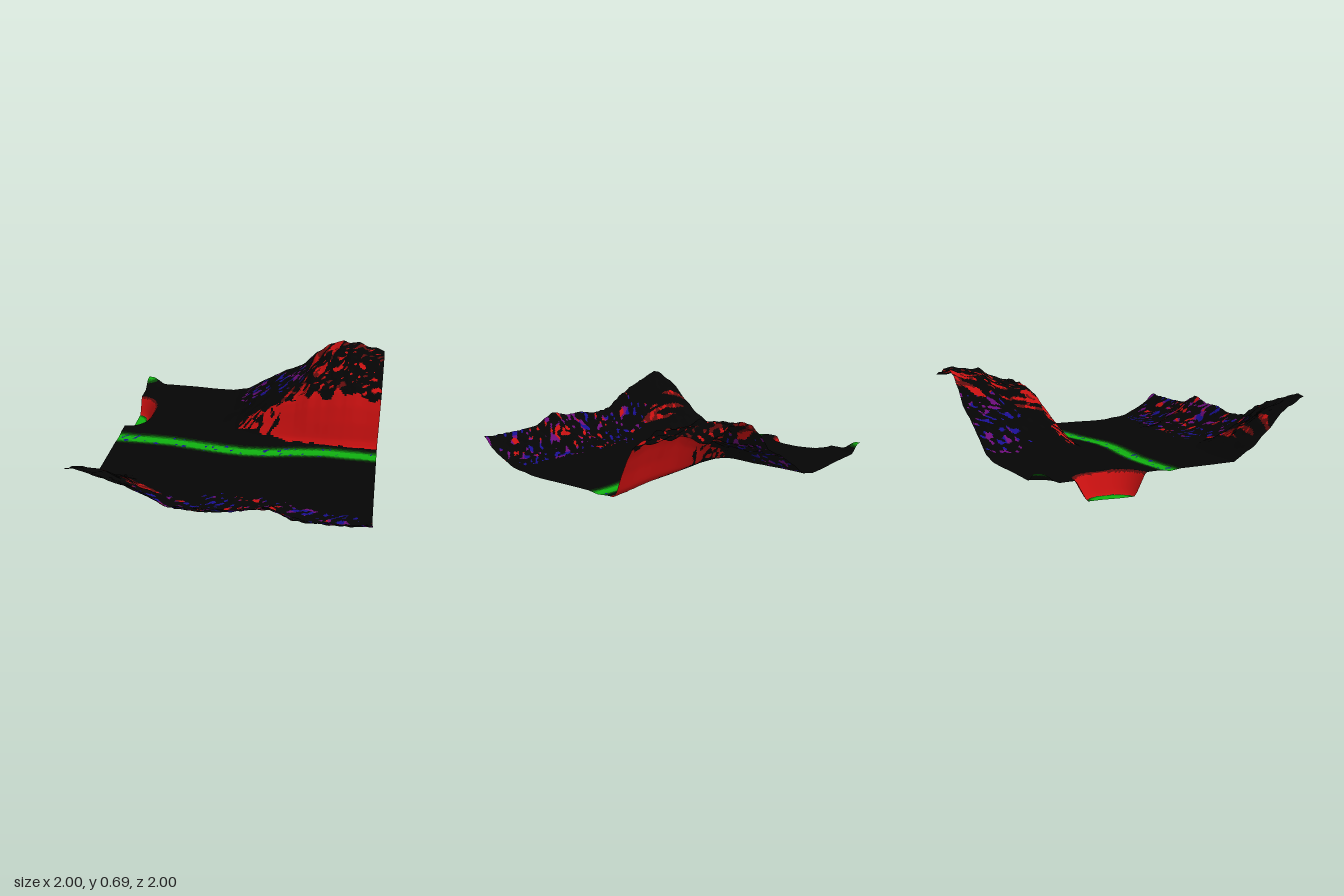
import * as THREE from 'three';

const CELLS = 250;
const FLAT = 0.15;
const { clamp, lerp, smoothstep } = THREE.MathUtils;

// Linear interpolation through [position, value] pairs
function profile(points, t) {
  if (t <= points[0][0]) return points[0][1];
  for (let i = 1; i < points.length; i++) {
    const [a, va] = points[i - 1], [b, vb] = points[i];
    if (t <= b) return va + (vb - va) * (t - a) / (b - a);
  }
  return points[points.length - 1][1];
}

// Seeded smooth noise in 0..1
function hash(i, j, seed) {
  const s = Math.sin(i * 127.1 + j * 311.7 + seed * 74.7) * 43758.5453;
  return s - Math.floor(s);
}
function noise(u, v, seed) {
  const i = Math.floor(u), j = Math.floor(v);
  const f = smoothstep(u - i, 0, 1), g = smoothstep(v - j, 0, 1);
  const a = lerp(hash(i, j, seed), hash(i + 1, j, seed), f);
  const b = lerp(hash(i, j + 1, seed), hash(i + 1, j + 1, seed), f);
  return lerp(a, b, g);
}

// Front hill: height along the front edge, then two slopes (tall end, low middle)
const FRONT_EDGE = [[-1, 0.555], [-0.95, 0.565], [-0.8, 0.53], [-0.6, 0.47], [-0.5, 0.43], [-0.4, 0.38],
  [-0.34, 0.34], [-0.25, 0.33], [-0.15, 0.33], [0, 0.36], [0.15, 0.365], [0.33, 0.41], [0.41, 0.375],
  [0.48, 0.34], [0.8, 0.335], [0.9, 0.34], [1, 0.36]];
const TALL_SLOPE = [[0.42, 0], [0.5, 0.12], [0.6, 0.29], [0.7, 0.51], [0.8, 0.73], [0.9, 0.86], [1, 1]];
const LOW_SLOPE = [[0.5, 0], [0.6, 0.04], [0.7, 0.1], [0.8, 0.25], [0.9, 0.57], [1, 1]];

// Back mountain: ridge height across x, then the rise from cliff foot to back edge,
// gradual at the high end and reaching full height at once on the low shoulder
const RIDGE = [[-0.25, 0.15], [-0.12, 0.18], [0, 0.26], [0.11, 0.33], [0.25, 0.4], [0.35, 0.45], [0.4, 0.5],
  [0.45, 0.56], [0.5, 0.59], [0.55, 0.635], [0.62, 0.66], [0.7, 0.67], [0.74, 0.69], [0.8, 0.68],
  [0.9, 0.65], [1, 0.635]];
const HIGH_RISE = [[-1, 1], [-0.85, 1], [-0.74, 0.97], [-0.7, 0.92], [-0.62, 0.85], [-0.58, 0.82], [-0.5, 0.81],
  [-0.43, 0.79], [-0.4, 0.72], [-0.35, 0.54], [-0.3, 0.31], [-0.26, 0.08], [-0.23, 0]];
const SHOULDER_RISE = [[-0.43, 1], [-0.38, 0.92], [-0.34, 0.7], [-0.3, 0.4], [-0.26, 0.1], [-0.23, 0]];

const STREAM = [[-1, -0.08], [-0.8, -0.085], [-0.6, -0.09], [-0.4, -0.07], [-0.2, -0.045], [0, -0.035],
  [0.2, -0.06], [0.4, -0.1], [0.6, -0.125], [0.8, -0.13], [1, -0.12]];
const PIT_WALL = [[0, 0], [0.54, 0.005], [0.63, 0.03], [0.79, 0.09], [0.92, 0.138], [1, 0.15]];

const pitRadius = (x, z) => Math.hypot((x + 1) / 0.18, Math.pow(Math.abs(z + 0.505) / 0.25, 1.4));
const cornerDistance = (x, z) => Math.hypot(x + 1, z + 1);
const streamDistance = (x, z) => Math.abs(z - profile(STREAM, x));

function height(x, z) {
  const pit = pitRadius(x, z);
  if (pit < 1) {
    const tilt = 0.05 * clamp(-z - 0.33, 0, 0.35);
    return profile(PIT_WALL, pit) + tilt * (1 - pit);
  }
  let y = FLAT + (noise(x * 5, z * 5, 8) - 0.5) * 0.006;
  // Small mound in the back corner
  y += 0.065 * (1 - smoothstep(cornerDistance(x, z), 0.03, 0.15));
  if (z > 0.4) {
    const edge = profile(FRONT_EDGE, x);
    const tall = clamp((edge - 0.33) / 0.2, 0, 1);
    const s = lerp(profile(LOW_SLOPE, z), profile(TALL_SLOPE, z), tall);
    y += (edge - FLAT) * s + (noise(x * 14, z * 14, 1) - 0.5) * 0.14 * s * (1 - s)
      + (noise(x * 30, z * 30, 9) - 0.5) * 0.01 * s;
  } else if (z < -0.2) {
    const back = z + 0.025 * smoothstep(x, 0.6, 1) * smoothstep(z, -0.6, -0.4);
    const rise = lerp(profile(SHOULDER_RISE, back), profile(HIGH_RISE, back), smoothstep(x, 0.3, 0.6));
    const lift = (profile(RIDGE, x) - FLAT) * rise;
    y += lift + (noise(x * 15, z * 15, 2) - 0.5) * 0.08 * lift * (z < -0.43 ? 1 : 0.3);
  }
  return y - 0.01 * Math.max(0, 1 - streamDistance(x, z) / 0.08);
}

const COLORS = {
  darkGround: 0x050505, stream: 0x10b010, streamShallows: 0x0b800b, streamBank: 0x074807, streamEdge: 0x051c05,
  redRock: 0xc81010, dullRedRock: 0x600c0c, purplePatches: 0x6a0c78, bluePatches: 0x180e90,
};

// Green fading away from the middle of the stream
function streamShade(d) {
  if (d < 0.033) return 'stream';
  if (d < 0.047) return 'streamShallows';
  return d < 0.062 ? 'streamBank' : 'streamEdge';
}

// Which part of the ground a cell belongs to
function surfaceAt(x, z) {
  const floor = Math.hypot((x + 1) / 0.1, (z + 0.505) / 0.16);
  if (floor < 1) return floor < 0.82 ? 'stream' : floor < 0.92 ? 'streamShallows' : 'streamBank';
  const pit = pitRadius(x, z);
  if (pit < 1) return pit < 0.92 ? 'redRock' : 'dullRedRock';
  const corner = cornerDistance(x, z);
  if (corner < 0.08) return streamShade(corner - 0.015);

  // Diagonal flecks
  const fleck = noise((x - z) * 17, (x + z) * 36, 3);
  const tint = noise(x * 13, z * 13, 4);
  const d = streamDistance(x, z);
  if (d < 0.055 && fleck > 0.84) return 'bluePatches';
  if (d < 0.08) return streamShade(d);

  // Cliff face and the rocky mountain behind it
  const wobble = (noise(x * 9, z * 9, 11) - 0.5) * 0.2;
  if (z < -0.22 && x > -0.1 + wobble * 0.5) {
    const ragged = (noise(x * 18, z * 6, 5) - 0.5) * 0.07;
    const cliffTop = -0.4 + ragged, foot = -0.235 - 0.08 * clamp((0.3 - x) / 0.4, 0, 1);
    if (z > cliffTop && z < foot + ragged * 0.3) {
      return x > 0.15 + wobble || fleck > 0.5 ? 'redRock' : 'darkGround';
    }
    const gully = Math.abs(x - (0.36 + Math.pow(Math.max(0, -z - 0.45), 1.3) * 0.45));
    if (z < -0.4 && gully < 0.12 + wobble * 0.3 && noise((x + z * 0.35) * 30, z * 9, 6) > 0.6) {
      return fleck > 0.4 ? 'redRock' : 'dullRedRock';
    }
    if (z < -0.64 + wobble && x < 0.42 && fleck > 0.7) return tint > 0.6 ? 'purplePatches' : 'bluePatches';
    if (x > 0.25 + wobble && z < -0.42 && fleck > 0.75) return tint > 0.45 ? 'redRock' : 'dullRedRock';
  }

  // Streaks and flecks on the front hill
  if (z > 0.5) {
    const band = 0.68 + 0.06 * (x + 1);
    const thickness = 0.09 * clamp((-0.4 - x) / 0.3, 0, 1);
    if (Math.abs(z - band) < thickness && noise((x - z) * 8, (z - x * 0.25) * 40, 7) > 0.55) {
      return fleck > 0.6 ? 'redRock' : 'dullRedRock';
    }
    if (Math.abs(x - 0.3) < 0.2 + wobble && z > 0.68 && fleck > 0.68) return tint > 0.4 ? 'redRock' : 'purplePatches';
    const start = 0.54 + Math.abs(x - 0.15) * 0.22 + wobble * 0.5;
    if (x > -0.6 + wobble && z > start && fleck > 0.72) {
      return tint > 0.72 ? 'redRock' : tint > 0.5 ? 'purplePatches' : 'bluePatches';
    }
  }
  return 'darkGround';
}

export function createModel() {
  const group = new THREE.Group();
  group.name = 'terrain';

  // Height field shared by all ground parts
  const sheet = new THREE.PlaneGeometry(2, 2, CELLS, CELLS).rotateX(-Math.PI / 2);
  const pos = sheet.attributes.position;
  for (let i = 0; i < pos.count; i++) pos.setY(i, height(pos.getX(i), pos.getZ(i)));
  sheet.computeVertexNormals();

  // Sort the cells by surface
  const faces = {};
  for (const name in COLORS) faces[name] = [];
  const row = CELLS + 1;
  for (let j = 0; j < CELLS; j++) {
    for (let i = 0; i < CELLS; i++) {
      const a = j * row + i, b = a + row;
      const x = -1 + (2 * i + 1) / CELLS, z = -1 + (2 * j + 1) / CELLS;
      faces[surfaceAt(x, z)].push(a, b, a + 1, b, b + 1, a + 1);
    }
  }

  // One mesh per surface, with normals continuous across the joins
  for (const name in COLORS) {
    const geometry = new THREE.BufferGeometry();
    geometry.setAttribute('position', pos);
    geometry.setAttribute('normal', sheet.attributes.normal);
    geometry.setIndex(faces[name]);
    const material = new THREE.MeshStandardMaterial({ color: COLORS[name], side: THREE.DoubleSide });
    const mesh = new THREE.Mesh(geometry, material);
    mesh.name = name;
    group.add(mesh);
  }
  return group;
}
